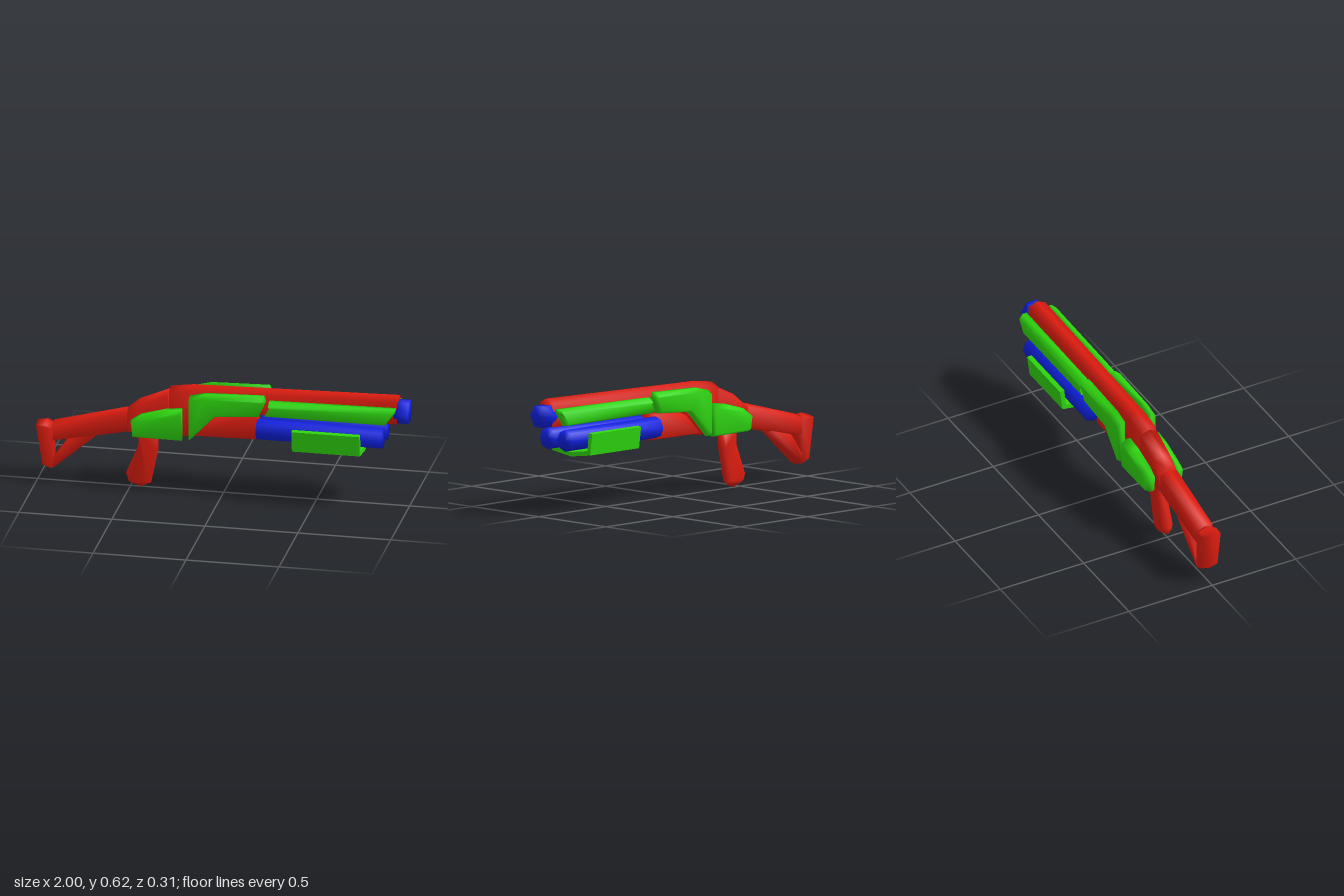
import * as THREE from 'three';
import { mergeVertices } from 'three/addons/utils/BufferGeometryUtils.js';

const RED = new THREE.MeshStandardMaterial({ color: 0xdd1c0f });
const GREEN = new THREE.MeshStandardMaterial({ color: 0x2ed60f });
const BLUE = new THREE.MeshStandardMaterial({ color: 0x0f1fdd });

// Weld the corners and share normals for soft low-poly shading
function smooth(geometry) {
  geometry.deleteAttribute('uv');
  geometry.deleteAttribute('normal');
  const welded = mergeVertices(geometry, 1e-5);
  welded.computeVertexNormals();
  return welded;
}

// Stack a side outline along z. Points are [x, y, dx, dy]; each layer is
// [z, k], where k says how much of the point's inset (dx, dy) applies.
function loft(points, layers) {
  const outline = points.map(([x, y]) => new THREE.Vector2(x, y));
  if (THREE.ShapeUtils.isClockWise(outline)) {
    outline.reverse();
    points = [...points].reverse();
  }
  const n = points.length, last = (layers.length - 1) * n;
  const pos = [], index = [];
  for (const [z, k] of layers) {
    for (const [x, y, dx = 0, dy = 0] of points) pos.push(x + dx * k, y + dy * k, z);
  }
  for (let l = 0; l < last; l += n) {
    for (let i = 0; i < n; i++) {
      const j = (i + 1) % n;
      index.push(l + i, l + j, l + n + j, l + i, l + n + j, l + n + i);
    }
  }
  for (const [a, b, c] of THREE.ShapeUtils.triangulateShape(outline, [])) {
    index.push(c, b, a, last + a, last + b, last + c);
  }
  const g = new THREE.BufferGeometry();
  g.setAttribute('position', new THREE.Float32BufferAttribute(pos, 3));
  g.setIndex(index);
  g.computeVertexNormals();
  return g;
}

export function createModel() {
  const model = new THREE.Group();
  model.name = 'toyShotgun';

  const add = (name, geometry, material) => {
    const mesh = new THREE.Mesh(geometry, material);
    mesh.name = name;
    model.add(mesh);
  };

  // Red core parts: ridged along the middle, inset at both sides
  const core = (name, half, points) =>
    add(name, loft(points, [[-half, 1], [0, 0], [half, 1]]), RED);

  core('topRail', 0.05, [
    [-0.285, 0.31, 0, 0.015], [-0.17, 0.31, 0, 0.015], [-0.05, 0.455], [0.22, 0.475],
    [0.94, 0.478], [0.94, 0.627, 0, -0.022], [-0.16, 0.602, 0, -0.022], [-0.285, 0.585, 0, -0.022],
  ]);
  core('lowerReceiver', 0.05, [
    [-0.155, 0.318, 0, 0.012], [0.185, 0.32, 0, 0.015], [0.185, 0.472, 0, -0.01], [-0.045, 0.448, 0, -0.01],
  ]);
  core('rearReceiver', 0.05, [
    [-0.51, 0.31, 0, 0.015], [-0.295, 0.31, 0, 0.015], [-0.295, 0.567, 0, -0.022],
    [-0.45, 0.5, 0.01, -0.02], [-0.51, 0.45, 0, -0.02],
  ]);
  core('stock', 0.05, [
    [-0.91, 0.232, 0, 0.012], [-0.52, 0.308, 0, 0.015], [-0.52, 0.447, 0, -0.02], [-0.91, 0.345, 0, -0.02],
  ]);
  core('stockBrace', 0.05, [
    [-0.91, 0.075, 0, 0.02], [-0.68, 0.275, -0.02, 0.005], [-0.83, 0.25], [-0.91, 0.14],
  ]);
  core('buttPad', 0.05, [
    [-0.915, 0.078, 0, 0.008], [-0.97, 0.098, 0.005, 0.008], [-1.0, 0.335, 0, -0.012],
    [-0.95, 0.348, 0, -0.02], [-0.915, 0.33, 0, -0.02],
  ]);
  core('grip', 0.03, [
    [-0.455, 0.315, 0.01, 0], [-0.46, 0.23, 0.015, 0], [-0.525, 0.075, 0.018, 0], [-0.51, 0.025, 0.015, 0.015],
    [-0.445, 0.003, 0, 0.022], [-0.39, 0.028, -0.015, 0.015], [-0.35, 0.225, -0.015, 0], [-0.35, 0.315, -0.01, 0],
  ]);

  // Green side plates: straight inner half, chamfered outer half
  const plate = (name, inner, outer, shift, points) => {
    const mid = (inner + outer) / 2;
    add(name + 'Left', loft(points, [[inner, 0], [mid, 0], [outer, 1]]), GREEN);
    add(name + 'Right', loft(points, [[-outer - shift, 1], [-mid - shift, 0], [-inner - shift, 0]]), GREEN);
  };
  plate('receiverPlate', 0.062, 0.111, 0.01, [
    [-0.168, 0.315, 0, 0.02], [-0.03, 0.46, 0, 0.012], [0.205, 0.478, -0.01, 0.012], [0.243, 0.565, -0.01, 0],
    [0.23, 0.592, -0.01, -0.022], [-0.085, 0.583, 0, -0.022], [-0.168, 0.562, 0, -0.02],
  ]);
  plate('barrelPlate', 0.062, 0.111, 0, [
    [0.235, 0.482, 0.01, 0.012], [0.885, 0.482, 0, 0.012], [0.935, 0.55, -0.01, 0],
    [0.94, 0.576, -0.01, -0.02], [0.26, 0.566, 0, -0.02], [0.265, 0.535],
  ]);
  plate('rearPlate', 0.055, 0.108, 0.009, [
    [-0.475, 0.31, 0.01, 0.015], [-0.21, 0.308, 0, 0.015], [-0.21, 0.485, 0, -0.022],
    [-0.3, 0.473, 0, -0.022], [-0.43, 0.437, 0.01, -0.022], [-0.485, 0.4, 0.01, -0.01],
  ]);

  // Blue tubes along x, with a corner pointing to each side
  const tube = (name, radius, sides, x0, x1, y, z) => {
    const g = new THREE.CylinderGeometry(radius, radius, x1 - x0, sides);
    g.rotateZ(Math.PI / 2).translate((x0 + x1) / 2, y, z);
    add(name, smooth(g), BLUE);
  };
  tube('muzzle', 0.065, 6, 0.925, 1.0, 0.535, 0);
  for (const s of [1, -1]) {
    tube(s > 0 ? 'magazineTubeLeft' : 'magazineTubeRight', 0.058, 8, 0.195, 0.87, 0.4, s * 0.065);
  }

  // Pump: thin cradle section drawn as half a profile and mirrored
  const half = [[0.142, 0.318], [0.157, 0.433], [0.131, 0.437], [0.122, 0.34]];
  const section = [
    [0, 0.298], ...half, [0, 0.322], ...half.map(([z, y]) => [-z, y]).reverse(),
  ].map(([z, y]) => new THREE.Vector2(z, y));
  const pump = new THREE.ExtrudeGeometry(new THREE.Shape(section), { depth: 0.365, bevelEnabled: false });
  pump.rotateY(Math.PI / 2).translate(0.395, 0, 0);
  add('pump', pump, GREEN);

  return model;
}
